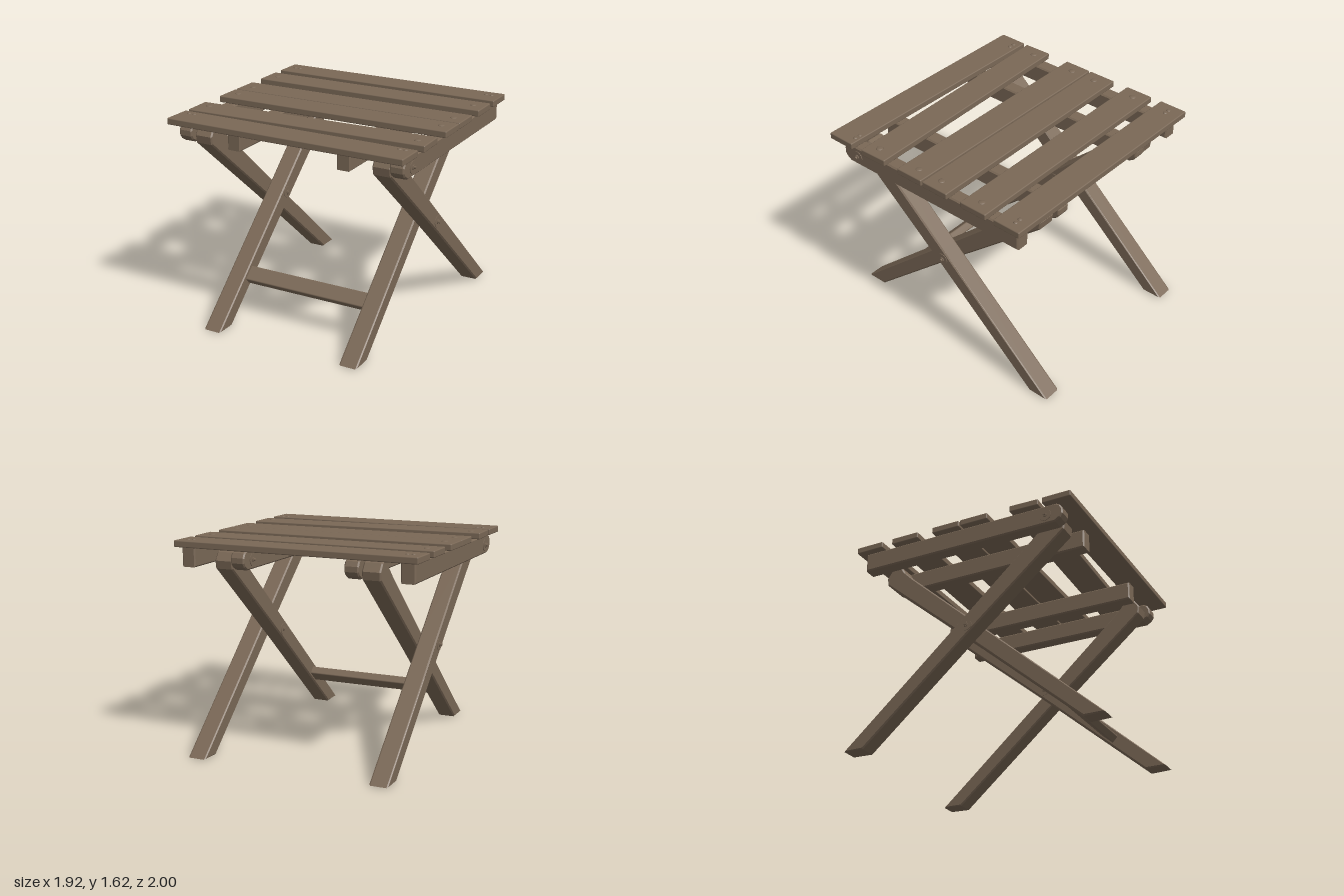
import * as THREE from 'three';
import { RoundedBoxGeometry } from 'three/addons/geometries/RoundedBoxGeometry.js';

const wood = new THREE.MeshStandardMaterial({ color: 0x7a6856 });
wood.name = 'brown wood';

function add(parent, name, geometry, x = 0, y = 0, z = 0) {
  const mesh = new THREE.Mesh(geometry, wood);
  mesh.name = name;
  mesh.position.set(x, y, z);
  parent.add(mesh);
  return mesh;
}

// Side outline of [z, y] points, given thickness along x, with eased edges
function plank(points, thickness) {
  const bevel = 0.01;
  const shape = new THREE.Shape(points.map(([z, y]) => new THREE.Vector2(z, y)));
  const geometry = new THREE.ExtrudeGeometry(shape, {
    depth: thickness - 2 * bevel, bevelEnabled: true, bevelSize: bevel,
    bevelThickness: bevel, bevelOffset: -bevel, bevelSegments: 1,
  });
  geometry.translate(0, 0, -thickness / 2 + bevel);
  geometry.rotateY(-Math.PI / 2);
  return geometry;
}

// Reversing z also reverses the order, so the outline keeps its winding
const flip = (points) => points.map(([z, y]) => [-z, y]).reverse();

// Foot at the front, rounded top at the back
const legOutline = [
  [1, 0.005], [0.84, 0], [0, 0.735], [-0.79, 1.41], [-0.8, 1.47], [-0.76, 1.53],
  [-0.71, 1.553], [-0.67, 1.54], [-0.64, 1.49], [-0.56, 1.41], [0, 0.905],
].reverse();

// Rounded pivot end at the front, square end at the back
const railOutline = [
  [-0.82, 1.41], [0.775, 1.41], [0.815, 1.435], [0.835, 1.465],
  [0.835, 1.505], [0.815, 1.54], [0.785, 1.557], [-0.82, 1.557],
];

// Bolt along x from the head end to the far end, with a washer under the head
function bolt(parent, name, headX, surfaceX, endX, y, z) {
  const group = new THREE.Group();
  group.name = name;
  group.position.set(0, y, z);
  parent.add(group);
  const disc = (part, radius, x0, x1, sides) => {
    const geometry = new THREE.CylinderGeometry(radius, radius, Math.abs(x1 - x0), sides);
    geometry.rotateZ(Math.PI / 2);
    add(group, part, geometry, (x0 + x1) / 2);
  };
  const out = Math.sign(headX - surfaceX);
  disc('shaft', 0.011, headX, endX, 12);
  disc('washer', 0.048, surfaceX - out * 0.004, surfaceX + out * 0.005, 10);
  disc('nut', 0.02, surfaceX, surfaceX + out * 0.013, 6);
}

export function createModel() {
  const model = new THREE.Group();
  model.name = 'foldingStool';

  for (const side of [1, -1]) {
    const label = side > 0 ? 'left' : 'right';
    // Crossed legs
    add(model, label + 'InnerLeg', plank(legOutline, 0.143), side * 0.582);
    add(model, label + 'OuterLeg', plank(flip(legOutline), 0.143), side * 0.73);

    // Seat rails
    add(model, label + 'OuterRail', plank(railOutline, 0.11), side * 0.863);
    add(model, label + 'InnerRail', plank(flip(railOutline), 0.11), side * 0.448);

    // Pivot bolts
    bolt(model, label + 'FrontPivot', side * 0.945, side * 0.918, side * 0.66, 1.48, 0.7);
    bolt(model, label + 'RearPivot', side * 0.367, side * 0.393, side * 0.65, 1.48, -0.7);
    bolt(model, label + 'CrossBoltOuter', side * 0.825, side * 0.801, side * 0.7, 0.815, 0);
    bolt(model, label + 'CrossBoltInner', side * 0.492, side * 0.511, side * 0.7, 0.815, 0);
  }

  // Stretcher between the inner legs, tilted with them
  const stretcher = add(model, 'stretcher',
    new RoundedBoxGeometry(1.04, 0.066, 0.122, 2, 0.01), 0, 0.317, 0.56);
  stretcher.rotation.x = 0.717;

  // Seat slats: z of the centre at the right end and the left end, screw z, paired screws
  const slats = [
    [-0.77, -0.752, -0.775, true],
    [-0.457, -0.457, -0.46, false],
    [-0.104, -0.104, -0.09, false],
    [0.135, 0.135, 0.125, false],
    [0.547, 0.495, 0.515, false],
    [0.805, 0.822, 0.745, true],
  ];
  slats.forEach(([zRight, zLeft, screwZ, paired], i) => {
    const slat = add(model, 'seatSlat' + (i + 1),
      new RoundedBoxGeometry(1.917, 0.05, 0.227, 2, 0.008), 0, 1.584, (zRight + zLeft) / 2);
    slat.rotation.y = -Math.atan2(zLeft - zRight, 1.917);

    // Domed screw heads
    const radius = paired ? 0.017 : 0.027;
    for (const side of [1, -1]) {
      for (const x of paired ? [0.84, 0.885] : [0.865]) {
        const head = new THREE.SphereGeometry(radius, 12, 4, 0, Math.PI * 2, 0, Math.PI / 2);
        head.scale(1, 0.008 / radius, 1);
        add(model, 'screwHead', head, side * x, 1.608, screwZ);
      }
    }
  });

  return model;
}
